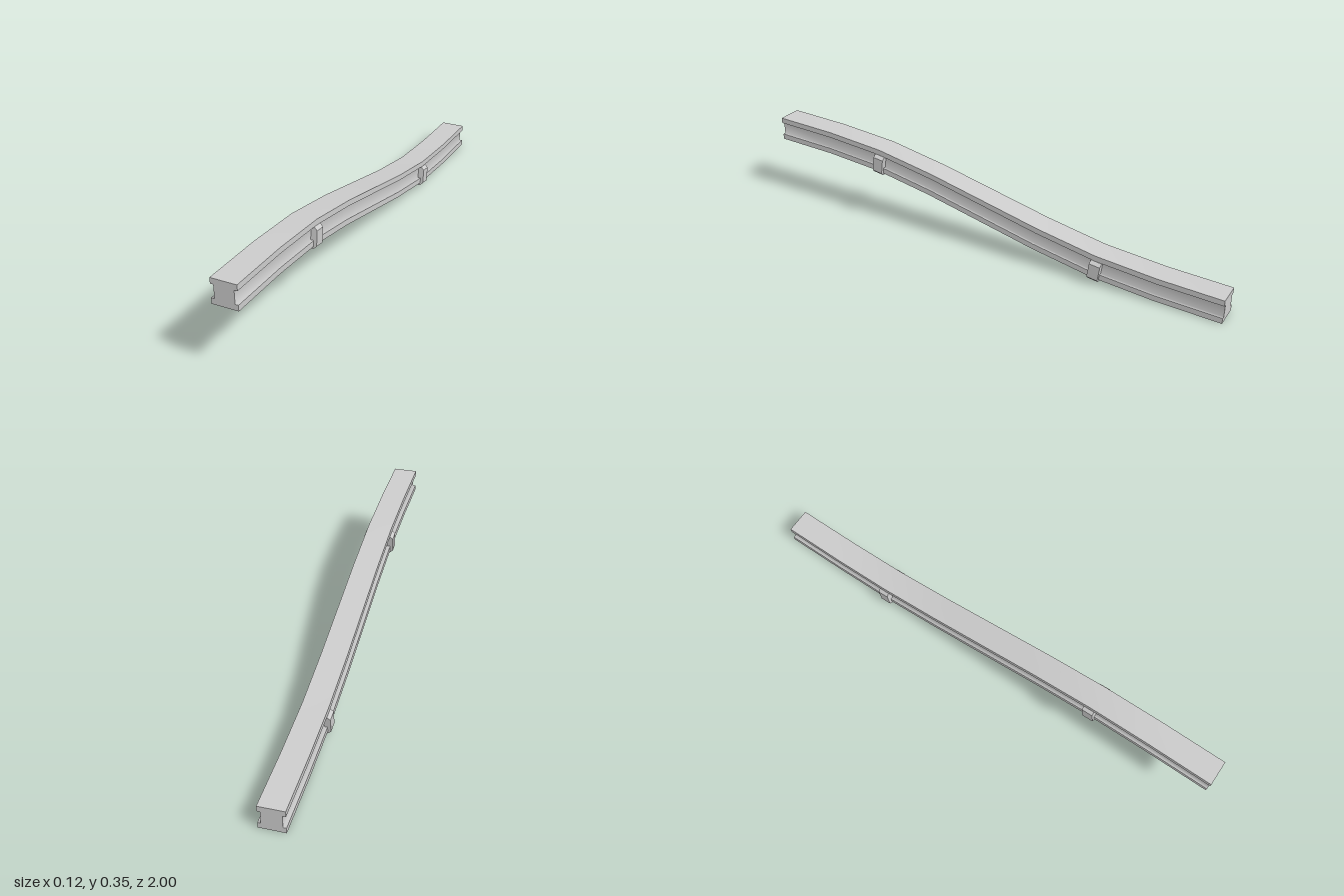
import * as THREE from 'three';
import { mergeGeometries } from 'three/addons/utils/BufferGeometryUtils.js';

const material = new THREE.MeshStandardMaterial({ color: 0xcccccc });

// Centre line of the rail as [z, y], from the high front end to the low back end
const MID = 0.175;
const half = [[1, 0.1265], [0.74, 0.119], [0.49, 0.099], [0.24, 0.054]];
const path = [
  ...half.map(([z, y]) => [z, MID + y]),
  [0, MID],
  ...half.map(([z, y]) => [-z, MID - y]).reverse(),
];

// Tilt of the cross-section at each path point; both ends stay upright
const tilts = path.map((p, i) => {
  if (i === 0 || i === path.length - 1) return 0;
  const a = path[i - 1], b = path[i + 1];
  return Math.atan2(a[1] - b[1], a[0] - b[0]);
});

// Cross-section: two flanges joined by a web, with a groove on each side
const W = 0.05, WEB = 0.038, H = 0.0487, LIP = 0.026;
const rightRuns = [
  [[W, -H], [W, -LIP]],
  [[W, -LIP], [WEB, -LIP], [WEB, LIP], [W, LIP]],
  [[W, LIP], [W, H]],
];
const leftRuns = rightRuns.map(run => run.map(([x, y]) => [-x, y]).reverse()).reverse();
const runs = [[[-W, -H], [W, -H]], ...rightRuns, [[W, H], [-W, H]], ...leftRuns];

// Sweeps one run of the cross-section along the path, smooth within the run
function sweep(run) {
  const pos = [], index = [], n = run.length;
  path.forEach(([z, y], i) => {
    const c = Math.cos(tilts[i]), s = Math.sin(tilts[i]);
    run.forEach(([u, v]) => pos.push(u, y + v * c, z - v * s));
  });
  for (let i = 0; i < path.length - 1; i++) {
    for (let j = 0; j < n - 1; j++) {
      const a = i * n + j, c = a + n;
      index.push(a, c, a + 1, a + 1, c, c + 1);
    }
  }
  const g = new THREE.BufferGeometry();
  g.setAttribute('position', new THREE.Float32BufferAttribute(pos, 3));
  g.setIndex(index);
  g.computeVertexNormals();
  return g;
}

function shapeOf(points) {
  return new THREE.Shape(points.map(([x, y]) => new THREE.Vector2(x, y)));
}

function createRail() {
  const outline = runs.flatMap(run => run.slice(0, -1));
  const ends = [path[0], path[path.length - 1]].map(([z, y], i) => {
    const cap = new THREE.ShapeGeometry(shapeOf(outline));
    cap.deleteAttribute('uv');
    if (i === 1) cap.rotateY(Math.PI);
    return cap.translate(0, y, z);
  });
  const rail = new THREE.Mesh(mergeGeometries([...runs.map(sweep), ...ends]), material);
  rail.name = 'rail';
  return rail;
}

// U-shaped clamp with chamfered corners, its tips hooked into the grooves
function createClamp(name, y, z, tilt) {
  const depth = 0.045;
  const side = [
    [0.05, -0.042], [0.0625, -0.03], [0.0625, 0.03], [0.05, 0.042],
    [WEB, 0.042], [WEB, -0.009], [W, -0.009], [W, -0.031],
  ];
  const outline = [...side, ...side.map(([x, v]) => [-x, v]).reverse()];
  const g = new THREE.ExtrudeGeometry(shapeOf(outline), { depth, bevelEnabled: false });
  g.translate(0, 0, -depth / 2);
  const clamp = new THREE.Mesh(g, material);
  clamp.name = name;
  clamp.position.set(0, y, z);
  clamp.rotation.x = -tilt;
  return clamp;
}

export function createModel() {
  const model = new THREE.Group();
  model.name = 'curvedRail';
  model.add(
    createRail(),
    createClamp('frontClamp', 0.257, 0.488, tilts[2]),
    createClamp('backClamp', 0.059, -0.497, tilts[6]),
  );
  return model;
}
